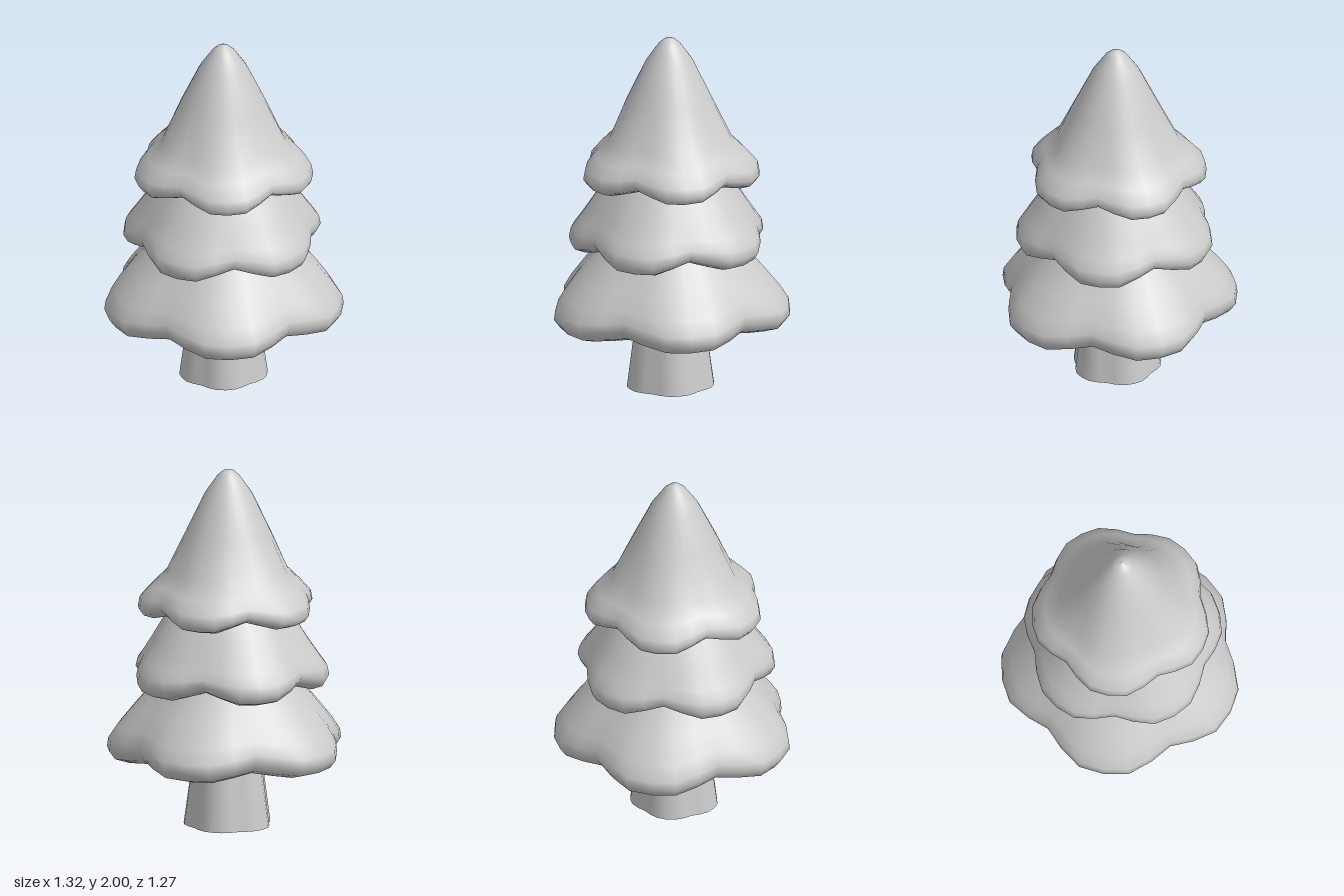
import * as THREE from 'three';

const SEGMENTS = 30;
const CENTRE_Z = 0.03;

// Five broad lobes with narrower valleys between them
const wave = (a) => Math.cos(5 * a) - 0.25 * Math.cos(10 * a);

// Lathe-like surface; each row is [radius, height, lobe swell, lobe droop], listed downwards
function lobedSurface(name, rows, lobeAngle) {
  const positions = [];
  const index = [];
  rows.forEach(([r, y, swell = 0, droop = 0], i) => {
    for (let j = 0; j < SEGMENTS; j++) {
      const a = (j / SEGMENTS) * Math.PI * 2 + lobeAngle;
      const w = wave(a - lobeAngle);
      const radius = r + swell * w;
      positions.push(radius * Math.cos(a), y - droop * w, radius * Math.sin(a));
      if (i === rows.length - 1) continue;
      const p = i * SEGMENTS + j;
      const q = i * SEGMENTS + ((j + 1) % SEGMENTS);
      index.push(p, q, p + SEGMENTS, q, q + SEGMENTS, p + SEGMENTS);
    }
  });
  const geometry = new THREE.BufferGeometry();
  geometry.setAttribute('position', new THREE.Float32BufferAttribute(positions, 3));
  geometry.setIndex(index);
  geometry.computeVertexNormals();
  const material = new THREE.MeshStandardMaterial({ color: 0xcccccc, side: THREE.DoubleSide });
  const mesh = new THREE.Mesh(geometry, material);
  mesh.name = name;
  mesh.position.z = CENTRE_Z;
  return mesh;
}

export function createModel() {
  const tree = new THREE.Group();
  tree.name = 'tree';
  const back = -Math.PI / 2;
  const nearFront = THREE.MathUtils.degToRad(86);

  // Pointed crown with a rolled, scalloped hem
  tree.add(lobedSurface('topFoliage', [
    [0, 2], [0.03, 1.99], [0.06, 1.965], [0.13, 1.865], [0.235, 1.645],
    [0.335, 1.425, 0.01], [0.41, 1.35, 0.02, 0.01], [0.465, 1.285, 0.03, 0.015],
    [0.475, 1.235, 0.03, 0.02], [0.45, 1.205, 0.03, 0.025], [0.4, 1.187, 0.025, 0.025],
    [0.33, 1.21, 0.01, 0.01], [0.2, 1.25],
  ], back));

  // Middle skirt, its lobes turned to sit between those of its neighbours
  tree.add(lobedSurface('middleFoliage', [
    [0.15, 1.45], [0.335, 1.2, 0.005], [0.43, 1.04, 0.01], [0.485, 0.955, 0.02, 0.01],
    [0.52, 0.9, 0.03, 0.015], [0.53, 0.855, 0.03, 0.025], [0.505, 0.815, 0.03, 0.03],
    [0.45, 0.795, 0.025, 0.03], [0.38, 0.83, 0.01, 0.01], [0.25, 0.87],
  ], nearFront));

  // Wide bottom skirt with an underside that rises to the trunk
  tree.add(lobedSurface('bottomFoliage', [
    [0.25, 1.0], [0.41, 0.78, 0.01], [0.505, 0.665, 0.02, 0.005], [0.585, 0.56, 0.035, 0.015],
    [0.628, 0.49, 0.043, 0.02], [0.633, 0.44, 0.045, 0.02], [0.6, 0.395, 0.045, 0.02],
    [0.53, 0.372, 0.035, 0.02], [0.42, 0.39, 0.015, 0.01], [0.17, 0.45],
  ], back));

  // Gently fluted, flared trunk and its flat foot
  tree.add(lobedSurface('trunk', [
    [0.17, 0.5, 0.008], [0.19, 0.36, 0.008], [0.237, 0, 0.012],
  ], back));
  tree.add(lobedSurface('trunkBase', [[0.237, 0, 0.012], [0, 0]], back));

  return tree;
}
